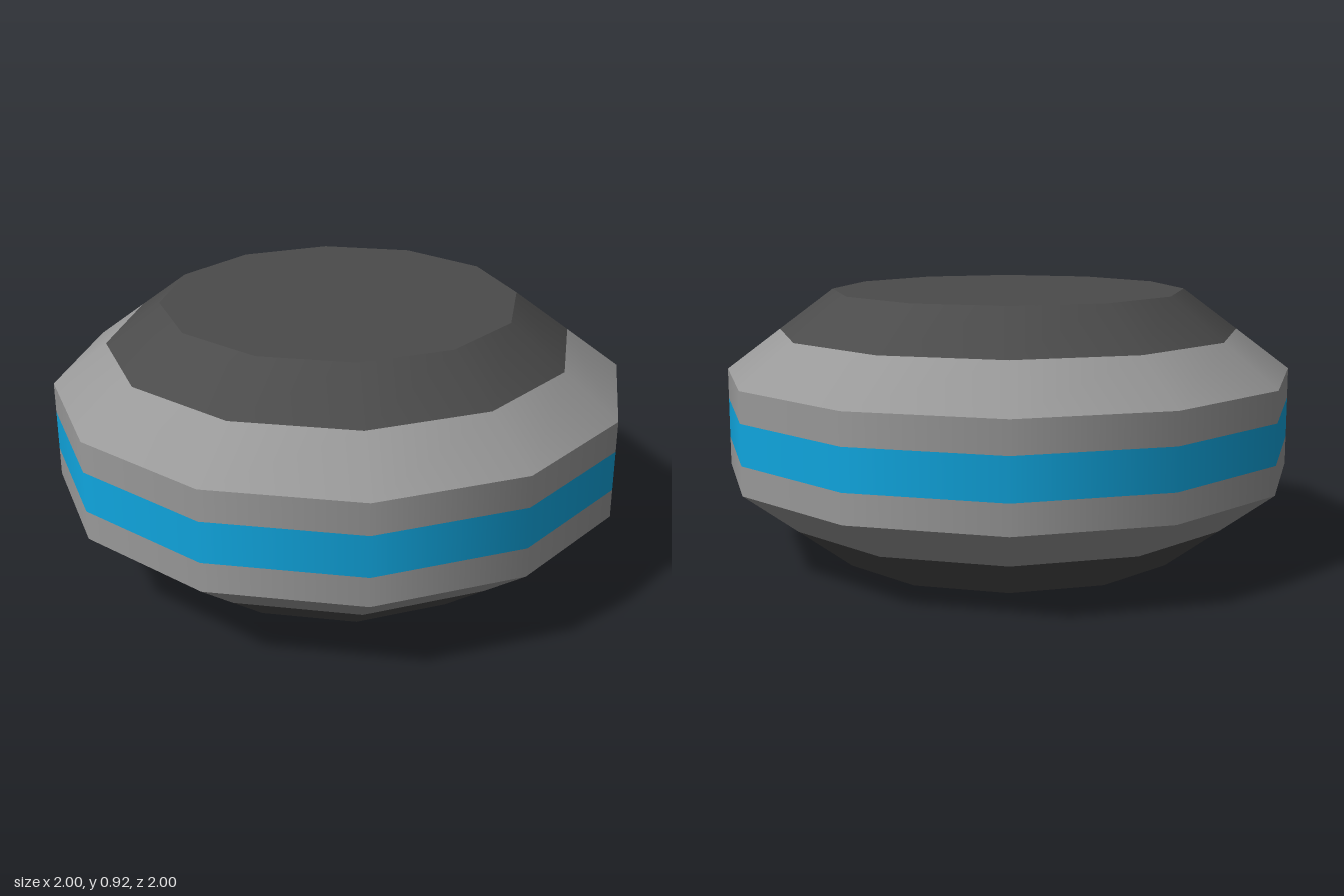
import * as THREE from 'three';

const SIDES = 12;

export function createModel() {
  const model = new THREE.Group();
  model.name = 'bandedDisc';

  const material = (name, color) => {
    const m = new THREE.MeshStandardMaterial({ color });
    m.name = name;
    return m;
  };
  const grey = material('grey', 0x999999);
  const dark = material('darkGrey', 0x4b4b4b);
  const blue = material('blue', 0x10a6df);

  const add = (name, geometry, mat, y) => {
    const mesh = new THREE.Mesh(geometry, mat);
    mesh.name = name;
    mesh.position.y = y;
    model.add(mesh);
    return mesh;
  };

  // Stacked rings: name, bottom y, top y, bottom radius, top radius, colour
  const rings = [
    ['lowerDarkBevel', 0, 0.145, 0.62, 0.81, dark],
    ['lowerGreyBevel', 0.145, 0.29, 0.81, 1, grey],
    ['lowerRim', 0.29, 0.39, 1, 1, grey],
    ['blueStripe', 0.39, 0.53, 1, 1, blue],
    ['upperRim', 0.53, 0.637, 1, 1, grey],
    ['upperGreyBevel', 0.637, 0.78, 1, 0.81, grey],
    ['upperDarkBevel', 0.78, 0.922, 0.81, 0.62, dark],
  ];
  for (const [name, y0, y1, r0, r1, mat] of rings) {
    const ring = new THREE.CylinderGeometry(r1, r0, y1 - y0, SIDES, 1, true);
    add(name, ring, mat, (y0 + y1) / 2);
  }

  // Flat end faces
  const face = new THREE.CircleGeometry(0.62, SIDES);
  add('topFace', face, dark, 0.922).rotation.x = -Math.PI / 2;
  add('bottomFace', face, dark, 0).rotation.x = Math.PI / 2;

  return model;
}
